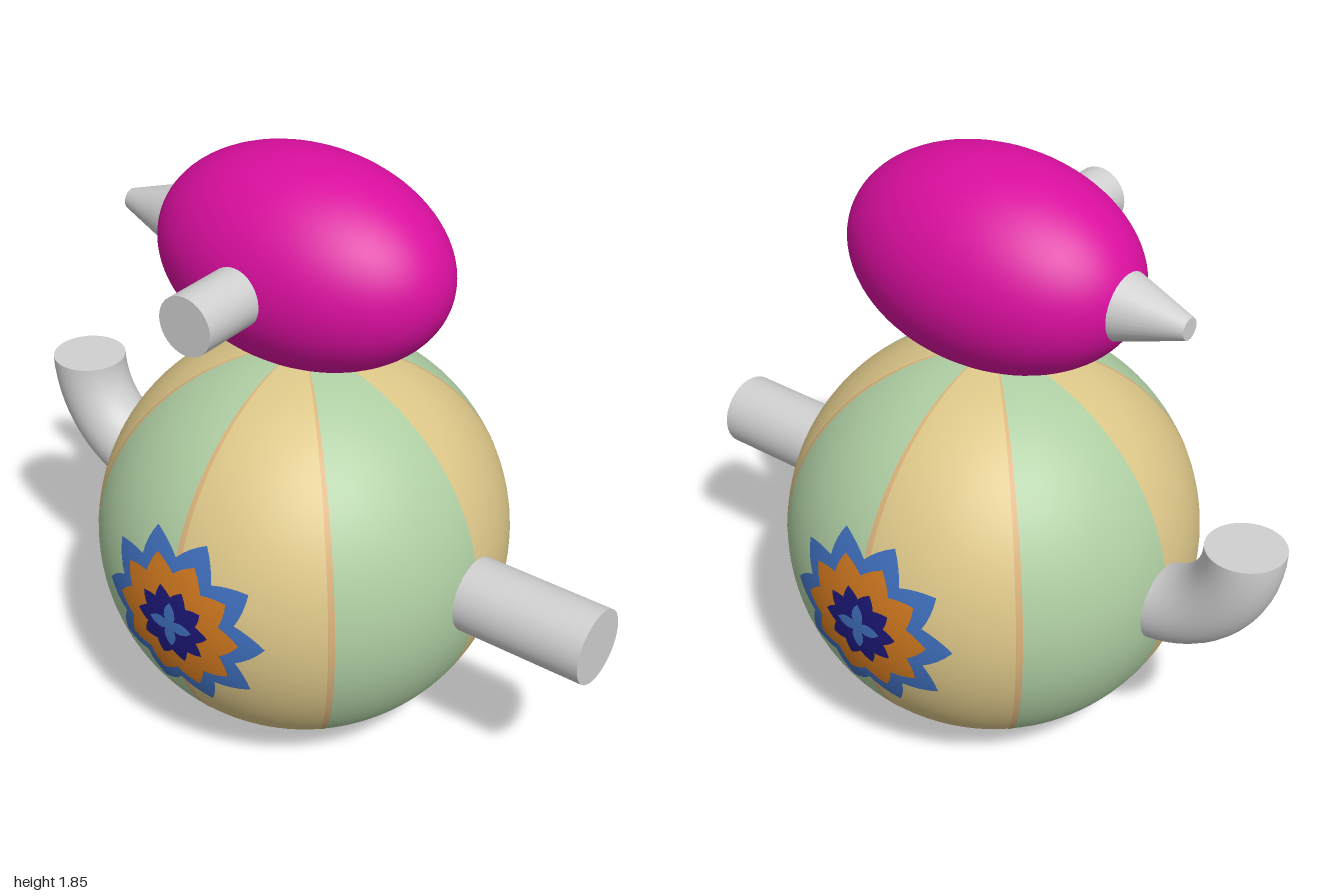
import * as THREE from 'three';

const mat = (name, color, side = THREE.FrontSide) => {
  const m = new THREE.MeshStandardMaterial({ color, side });
  m.name = name;
  return m;
};

export function createModel() {
  const group = new THREE.Group();
  const tan = mat('tan', 0xdcc688);
  const green = mat('green', 0xaecda2);
  const seam = mat('seam orange', 0xd8b07a);
  const magenta = mat('magenta', 0xda0e9f);
  const grey = mat('grey', 0xd0d0d0);
  const blue = mat('blue', 0x3f6fbd);
  const orange = mat('orange', 0xd0781f);
  const navy = mat('navy', 0x1c1878);

  const add = (name, geo, material, x = 0, y = 0, z = 0, parent = group) => {
    const mesh = new THREE.Mesh(geo, material);
    mesh.name = name;
    mesh.position.set(x, y, z);
    parent.add(mesh);
    return mesh;
  };

  // Round body made of eight alternating gores
  const R = 0.625, CX = -0.02, CY = 0.63;
  const body = new THREE.Group();
  body.name = 'body';
  body.position.set(CX, CY, 0);
  group.add(body);
  const gore = (name, r, start, width, material, segs) => {
    const rad = THREE.MathUtils.degToRad;
    add(name, new THREE.SphereGeometry(r, segs, 64, Math.PI / 2 + rad(start), rad(width)), material, 0, 0, 0, body);
  };
  for (let i = 0; i < 8; i++) gore('gore', R, i * 45, 45, i % 2 ? green : tan, 12);
  // Narrow seams along the tan gores
  for (const a of [0, 43.2, 133.2, 180, 223.2, 313.2]) gore('seam', R + 0.0008, a, 1.8, seam, 2);

  // Star-shaped patch wrapped onto the front of the ball
  const starPatch = (points, outer, inner, lift) => {
    const rings = 10, steps = points * 8, pos = [], nor = [], idx = [];
    for (let j = 0; j <= rings; j++) {
      for (let i = 0; i <= steps; i++) {
        const a = (i / steps) * Math.PI * 2;
        const t = Math.abs(((i / 8) % 1) * 2 - 1);
        const r = (inner + (outer - inner) * t) * j / rings;
        const x = r * Math.cos(a), y = r * Math.sin(a);
        const n = new THREE.Vector3(x, y, Math.sqrt(R * R - r * r)).normalize();
        nor.push(n.x, n.y, n.z);
        n.multiplyScalar(R + lift);
        pos.push(n.x, n.y, n.z);
        if (i < steps && j < rings) {
          const p = j * (steps + 1) + i, q = p + steps + 1;
          idx.push(p, q, q + 1, p, q + 1, p + 1);
        }
      }
    }
    const g = new THREE.BufferGeometry();
    g.setAttribute('position', new THREE.Float32BufferAttribute(pos, 3));
    g.setAttribute('normal', new THREE.Float32BufferAttribute(nor, 3));
    g.setIndex(idx);
    return g;
  };

  // Layered flower on front and back
  for (const turn of [0, Math.PI]) {
    const flower = new THREE.Group();
    flower.name = turn ? 'backFlower' : 'frontFlower';
    flower.rotation.y = turn;
    body.add(flower);
    add('outerPetals', starPatch(10, 0.285, 0.212, 0.002), blue, 0, 0, 0, flower);
    add('middlePetals', starPatch(10, 0.215, 0.165, 0.0035), orange, 0, 0, 0, flower);
    add('innerPetals', starPatch(10, 0.125, 0.092, 0.005), navy, 0, 0, 0, flower);
    add('flowerCentre', starPatch(4, 0.075, 0.022, 0.0065), blue, 0, 0, 0, flower);
  }

  // Egg-shaped head lying along x
  const HY = 1.54;
  const headGeo = new THREE.SphereGeometry(1, 64, 48);
  headGeo.rotateZ(Math.PI / 2);
  headGeo.scale(0.466, 0.31, 0.315);
  add('head', headGeo, magenta, CX, HY, 0);

  // Tapered beak pointing to -x
  const beak = new THREE.CylinderGeometry(0.032, 0.113, 0.24, 32).rotateZ(Math.PI / 2);
  add('beak', beak, grey, -0.54, 1.535, 0);

  // Short peg on the front of the head
  const peg = new THREE.CylinderGeometry(0.087, 0.087, 0.31, 32).rotateX(Math.PI / 2);
  add('frontPeg', peg, grey, -0.023, 1.535, 0.355);

  // Straight handle on the +x side
  const handle = new THREE.CylinderGeometry(0.114, 0.114, 0.5, 32).rotateZ(Math.PI / 2);
  add('handle', handle, grey, 0.75, 0.64, 0);

  // Curved spout on the -x side, opening upward, with a flat cap
  const spout = new THREE.TorusGeometry(0.31, 0.115, 32, 16, Math.PI / 2).rotateZ(Math.PI);
  add('spout', spout, grey, -0.575, 0.93, 0);
  add('spoutCap', new THREE.CircleGeometry(0.115, 32).rotateX(-Math.PI / 2), grey, -0.885, 0.93, 0);

  return group;
}
